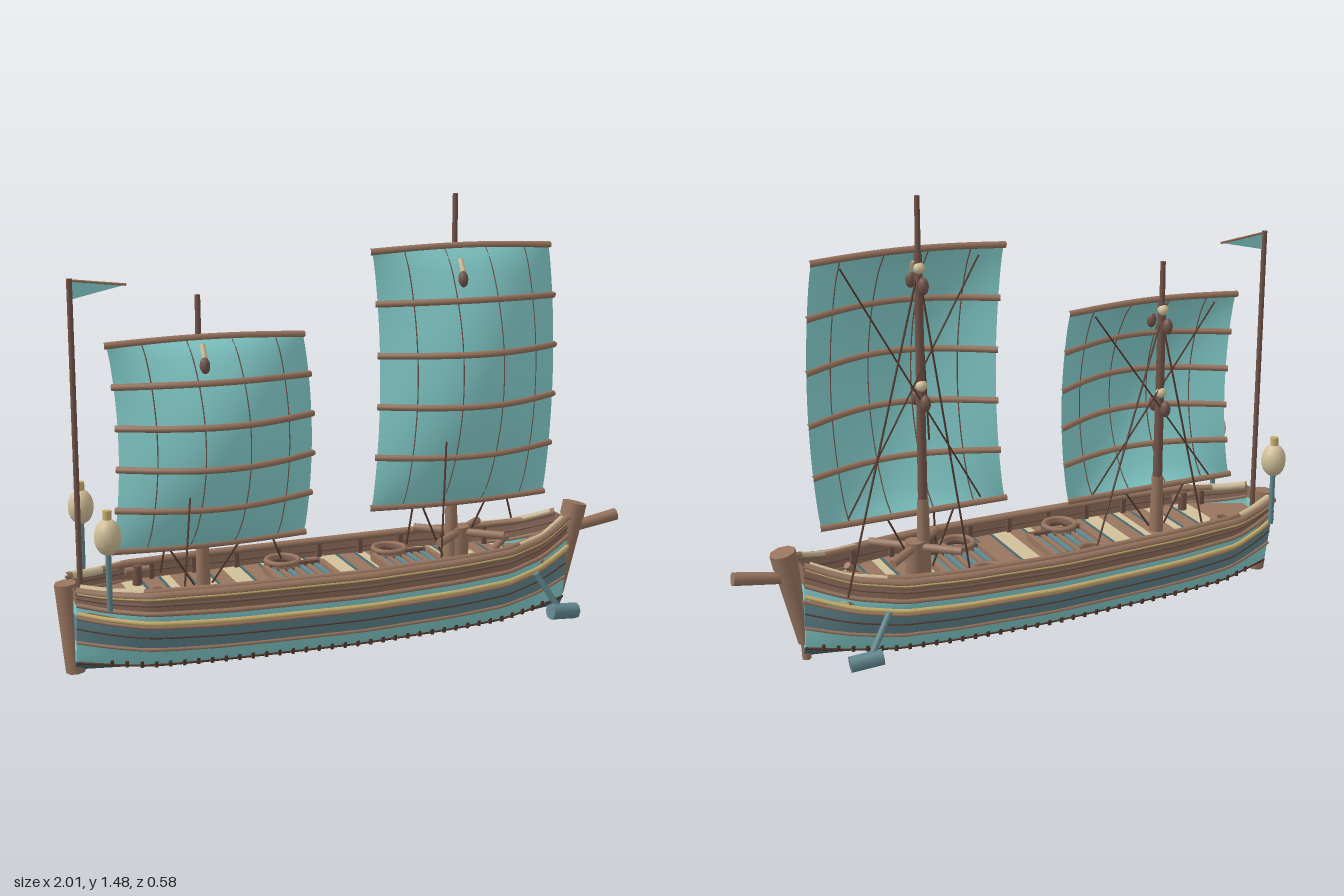
import * as THREE from 'three';

const mat = (name, color, side = THREE.FrontSide) => {
  const m = new THREE.MeshStandardMaterial({ color, side });
  m.name = name;
  return m;
};
const D = THREE.DoubleSide;
const V = (x, y, z) => new THREE.Vector3(x, y, z);

// Linear interpolation through [x, value] points
function lerpTable(t, x) {
  if (x <= t[0][0]) return t[0][1];
  for (let i = 1; i < t.length; i++) {
    if (x <= t[i][0]) {
      const k = (x - t[i - 1][0]) / (t[i][0] - t[i - 1][0]);
      return t[i - 1][1] + k * (t[i][1] - t[i - 1][1]);
    }
  }
  return t[t.length - 1][1];
}

// Hull lines: half width, sheer, keel and section fullness
const WIDTH = [[-0.96, 0.08], [-0.86, 0.13], [-0.75, 0.183], [-0.5, 0.208], [-0.05, 0.221], [0.3, 0.208], [0.5, 0.176], [0.65, 0.115], [0.78, 0.045]];
const SHEER = [[-0.96, 0.31], [-0.86, 0.298], [-0.05, 0.292], [0.5, 0.3], [0.66, 0.318], [0.78, 0.36]];
const KEEL = [[-0.96, 0.03], [-0.7, 0.016], [0, 0.007], [0.5, 0.015], [0.78, 0.035]];
const FULL = [[0, 0.12], [0.05, 0.42], [0.1, 0.59], [0.3, 0.76], [0.5, 0.89], [0.7, 0.97], [1, 1]];
const X0 = -0.955, X1 = 0.78;

function hullPoint(x, v, side = 1, out = 0) {
  const a = lerpTable(KEEL, x), b = lerpTable(SHEER, x);
  const y = a + v * (b - a) + 0.14 * v * (1 - v) * Math.pow(x, 4);
  return V(x, y, side * (lerpTable(WIDTH, x) * lerpTable(FULL, v) + out));
}

// Grid surface from fn(u, v)
function surface(nu, nv, fn) {
  const g = new THREE.PlaneGeometry(1, 1, nu, nv);
  const p = g.attributes.position, uv = g.attributes.uv;
  for (let i = 0; i < p.count; i++) {
    const q = fn(uv.getX(i), uv.getY(i));
    p.setXYZ(i, q.x, q.y, q.z);
  }
  g.computeVertexNormals();
  return g;
}

export function createModel() {
  const wood = mat('wood', 0x98755f), darkWood = mat('darkWood', 0x73554a), rope = mat('rope', 0x55392e);
  const cream = mat('cream', 0xd2c09a), gold = mat('gold', 0xcab06e), slate = mat('slate', 0x62888f, D);
  const teal = mat('teal', 0x88d4d3, D), bottom = mat('bottom', 0x4a6a6e), hullWood = mat('hullWood', 0x8f6d5a, D);

  const model = new THREE.Group();
  const add = (name, geo, m, x = 0, y = 0, z = 0) => {
    const mesh = new THREE.Mesh(geo, m);
    mesh.name = name;
    mesh.position.set(x, y, z);
    model.add(mesh);
    return mesh;
  };
  // Straight round bar between two points
  const bar = (name, a, b, r0, m, r1 = r0, sides = 8) => {
    const d = b.clone().sub(a);
    const mesh = add(name, new THREE.CylinderGeometry(r1, r0, d.length(), sides), m);
    mesh.position.copy(a).add(b).multiplyScalar(0.5);
    mesh.quaternion.setFromUnitVectors(V(0, 1, 0), d.normalize());
  };
  const tube = (name, pts, r, m, sides = 6) =>
    add(name, new THREE.TubeGeometry(new THREE.CatmullRomCurve3(pts), pts.length * 2, r, sides), m);
  const path = (n, fn) => Array.from({ length: n + 1 }, (_, i) => fn(i / n));

  // Hull planking in coloured bands, both sides plus end panels
  const bands = [[0, 0.09, bottom], [0.09, 0.3, teal], [0.3, 0.6, slate], [0.6, 0.76, teal], [0.76, 1, hullWood]];
  for (const [v0, v1, m] of bands) {
    const vv = (v) => v0 + v * (v1 - v0);
    for (const s of [1, -1]) {
      add('hullBand', surface(36, 4, (u, v) => hullPoint(s > 0 ? X0 + u * (X1 - X0) : X1 - u * (X1 - X0), vv(v), s)), m);
    }
    for (const x of [X0, X1]) {
      add('hullEnd', surface(1, 4, (u, v) => hullPoint(x, vv(v), (u * 2 - 1) * Math.sign(-x))), m);
    }
  }
  add('hullFloor', surface(36, 1, (u, v) => hullPoint(X0 + u * (X1 - X0), 0, v * 2 - 1)), bottom);

  // Wales and rails following the hull: level, radius, colour, projection
  const wales = [[0.09, 0.005, rope, 0], [0.3, 0.006, wood, 0.002], [0.45, 0.003, rope, 0], [0.59, 0.006, wood, 0.003],
    [0.65, 0.008, gold, 0.008], [0.77, 0.008, wood, 0.004], [0.88, 0.005, darkWood, 0.002], [1, 0.014, wood, 0.002],
    [0.975, 0.004, gold, 0.013]];
  for (const s of [1, -1]) {
    for (const [v, r, m, out] of wales) {
      tube('wale', path(24, (t) => hullPoint(X0 + t * (X1 - X0), v, s, out)), r, m);
    }
    // Inner bulwark rail and light trims at both ends
    tube('innerRail', path(16, (t) => hullPoint(-0.83 + t * 1.5, 1, s, -0.022).add(V(0, 0.008, 0))), 0.011, wood);
    tube('sternTrim', path(4, (t) => hullPoint(-0.94 + t * 0.18, 1, s, -0.016).add(V(0, 0.007, 0))), 0.014, cream);
    tube('bowTrim', path(4, (t) => hullPoint(0.54 + t * 0.22, 1, s, -0.012).add(V(0, 0.01, 0))), 0.009, cream);
    // Row of small studs along the bilge
    for (let x = -0.85; x < 0.76; x += 0.045) {
      const p = hullPoint(x, 0.11, s, 0.001);
      add('stud', new THREE.BoxGeometry(0.01, 0.02, 0.01), rope, p.x, p.y, p.z);
    }
    for (let x = -0.8; x < 0.7; x += 0.15) {
      const p = hullPoint(x, 0.87, s, -0.012);
      add('bulwarkRib', new THREE.BoxGeometry(0.016, 0.07, 0.012), darkWood, p.x, p.y, p.z);
    }
  }

  // Deck planks laid athwart, plain at the stern and striped forward
  const plank = (x, w, m) => {
    const a = lerpTable(WIDTH, x) * 0.965, b = lerpTable(WIDTH, x + w) * 0.965;
    const shape = new THREE.Shape([[x, -a], [x + w, -b], [x + w, b], [x, a]].map((q) => new THREE.Vector2(...q)));
    const g = new THREE.ExtrudeGeometry(shape, { depth: 0.012, bevelEnabled: false });
    g.rotateX(-Math.PI / 2);
    add('deckPlank', g, m, 0, 0.228, 0);
  };
  plank(-0.94, 0.08, wood);
  plank(-0.86, 0.105, wood);
  const pattern = [[0.06, cream], [0.012, bottom], [0.055, wood], [0.012, bottom], [0.03, cream], [0.05, wood], [0.012, bottom],
    [0.035, wood], [0.025, cream], [0.012, bottom], [0.05, wood]];
  for (let x = -0.755, i = 0; x < 0.75; i++) {
    const [w, m] = pattern[i % pattern.length];
    plank(x, w, m);
    x += w;
  }

  // Grated hatches with rope coils on each side
  for (const hx of [-0.18, 0.21]) {
    for (const s of [1, -1]) {
      add('hatchFrame', new THREE.BoxGeometry(0.2, 0.03, 0.018), darkWood, hx, 0.25, s * 0.105);
      add('hatchFrame', new THREE.BoxGeometry(0.018, 0.03, 0.21), wood, hx + s * 0.1, 0.25, 0);
      for (const [r, y] of [[0.055, 0.25], [0.042, 0.258], [0.055, 0.268]]) {
        const coil = add('ropeCoil', new THREE.TorusGeometry(r, 0.009, 6, 20), y > 0.26 ? wood : darkWood, hx - 0.03, y, s * 0.13);
        coil.rotation.x = Math.PI / 2;
      }
    }
    for (let i = -3; i <= 3; i++) {
      add('hatchSlat', new THREE.BoxGeometry(0.015, 0.014, 0.2), i % 2 ? slate : wood, hx + i * 0.026, 0.248, 0);
    }
  }

  // Stem and stern posts, bowsprit, bitts
  bar('sternPost', V(-0.948, 0.02, 0), V(-0.972, 0.315, 0), 0.032, wood, 0.036);
  bar('stemPost', V(0.768, 0.08, 0), V(0.832, 0.395, 0), 0.026, wood, 0.042);
  bar('stemFoot', V(0.768, 0.02, 0), V(0.774, 0.2, 0), 0.015, wood, 0.018);
  bar('stemCap', V(0.822, 0.352, 0), V(0.833, 0.4, 0), 0.043, wood, 0.043);
  bar('bowsprit', V(0.8, 0.308, 0), V(0.997, 0.34, 0), 0.02, wood, 0.023);
  for (const s of [1, -1]) {
    bar('bitt', V(-0.71, 0.23, s * 0.13), V(-0.71, 0.305, s * 0.13), 0.016, darkWood);
    bar('bittBar', V(-0.75, 0.29, s * 0.13), V(-0.67, 0.29, s * 0.13), 0.012, wood);
    bar('bowCleat', V(0.55, 0.23, s * 0.08), V(0.6, 0.29, s * 0.06), 0.013, wood);
  }

  // Capstan bars by the forward mast
  for (const a of [0.72, -0.72]) {
    const d = V(Math.cos(a), 0, Math.sin(a)).multiplyScalar(0.16), c = V(0.385, 0.34, 0);
    bar('capstanBar', c.clone().sub(d), c.clone().add(d), 0.014, wood);
  }
  bar('capstan', V(0.385, 0.23, 0), V(0.385, 0.36, 0), 0.035, wood);

  // Masts with battened sails and rigging
  const rigs = [
    { x: 0.355, top: 1.49, foot: 0.5, x0: 0.06, x1: 0.7, y0: 0.455, y1: 1.31, blocks: [1.215, 0.835] },
    { x: -0.525, top: 1.2, foot: 0.44, x0: -0.82, x1: -0.18, y0: 0.4, y1: 1.057, blocks: [0.985, 0.695] },
  ];
  for (const r of rigs) {
    bar('mastFoot', V(r.x, 0.22, 0), V(r.x, r.foot, 0), 0.026, wood, 0.02);
    bar('mastLower', V(r.x, r.foot, 0), V(r.x, r.y1, 0), 0.017, darkWood, 0.014);
    bar('mastTop', V(r.x, r.y1, 0), V(r.x, r.top, 0), 0.01, darkWood, 0.009);
    const sail = (u, v) => {
      const b = Math.pow(Math.max(0, Math.sin(Math.PI * v)), 0.75);
      const arch = Math.sin(Math.PI * u);
      return V(r.x0 + u * (r.x1 - r.x0) + 0.03 * b, r.y0 + v * (r.y1 - r.y0) + 0.016 * arch * (v - 0.3),
        0.004 + 0.012 * arch + 0.112 * arch * b);
    };
    add('sail', surface(20, 24, sail), teal);
    for (let i = 0; i <= 5; i++) {
      tube('batten', path(12, (t) => sail(-0.01 + t * 1.02, i / 5)), 0.011, wood);
    }
    for (const u of [0.17, 0.39, 0.62, 0.85]) {
      tube('sailSeam', path(14, (t) => sail(u, t)), 0.0022, darkWood, 5);
    }
    // Paired blocks, with the topmost showing through the sail front
    for (const [i, y] of r.blocks.entries()) {
      for (const [s, z] of [[-1, 0.04], [1, i ? 0.04 : 0.068]]) {
        add('pulleyBlock', new THREE.SphereGeometry(1, 10, 8), darkWood, r.x, y, s * z).scale.set(0.017, 0.028, 0.019);
      }
      add('mastBand', new THREE.SphereGeometry(0.019, 10, 8), cream, r.x, y + 0.05, -0.008);
    }
    bar('blockStrop', V(r.x, r.blocks[0] + 0.025, 0.068), V(r.x, r.blocks[0] + 0.065, 0.045), 0.009, cream);
    // Stays down to the bulwarks
    const head = V(r.x, r.y1 - 0.05, 0);
    for (const [dx, z] of [[-0.105, 0.15], [-0.105, -0.14], [0.315, -0.14]]) {
      bar('stay', head, V(r.x + dx, 0.27, z), 0.0035, rope, 0.0035, 5);
    }
    for (const s of [1, -1]) {
      bar('sheet', sail(s > 0 ? 0.65 : 0.28, 0), V(r.x + s * 0.03, 0.26, 0), 0.0035, rope, 0.0035, 5);
      // Crossed braces behind the sail
      bar('brace', sail(0.5 - s * 0.36, 0.97).setZ(-0.012), sail(0.5 + s * 0.36, 0.03).setZ(-0.012), 0.003, rope, 0.003, 5);
    }
  }

  // Flagpole and pennant
  bar('flagpole', V(-0.925, 0.25, 0), V(-0.925, 1.268, 0), 0.009, darkWood);
  const pennant = new THREE.Shape([[-0.918, 1.262], [-0.918, 1.205], [-0.75, 1.242]].map((q) => new THREE.Vector2(...q)));
  add('pennant', new THREE.ShapeGeometry(pennant), teal);
  bar('pennantEdge', V(-0.92, 1.262, 0), V(-0.75, 1.242, 0), 0.004, wood);

  for (const s of [1, -1]) {
    // Stern lanterns
    bar('lanternPole', V(-0.875, 0.27, s * 0.19), V(-0.875, 0.46, s * 0.19), 0.009, slate);
    add('lantern', new THREE.SphereGeometry(1, 14, 10), cream, -0.875, 0.505, s * 0.19).scale.set(0.042, 0.058, 0.042);
    bar('lanternCap', V(-0.875, 0.55, s * 0.19), V(-0.875, 0.588, s * 0.19), 0.014, gold);

    // Bow anchors
    bar('anchorShank', V(0.565, 0.235, s * 0.226), V(0.645, 0.105, s * 0.256), 0.011, slate);
    bar('anchorHead', V(0.605, 0.107, s * 0.262), V(0.708, 0.095, s * 0.248), 0.027, slate);
  }
  return model;
}
